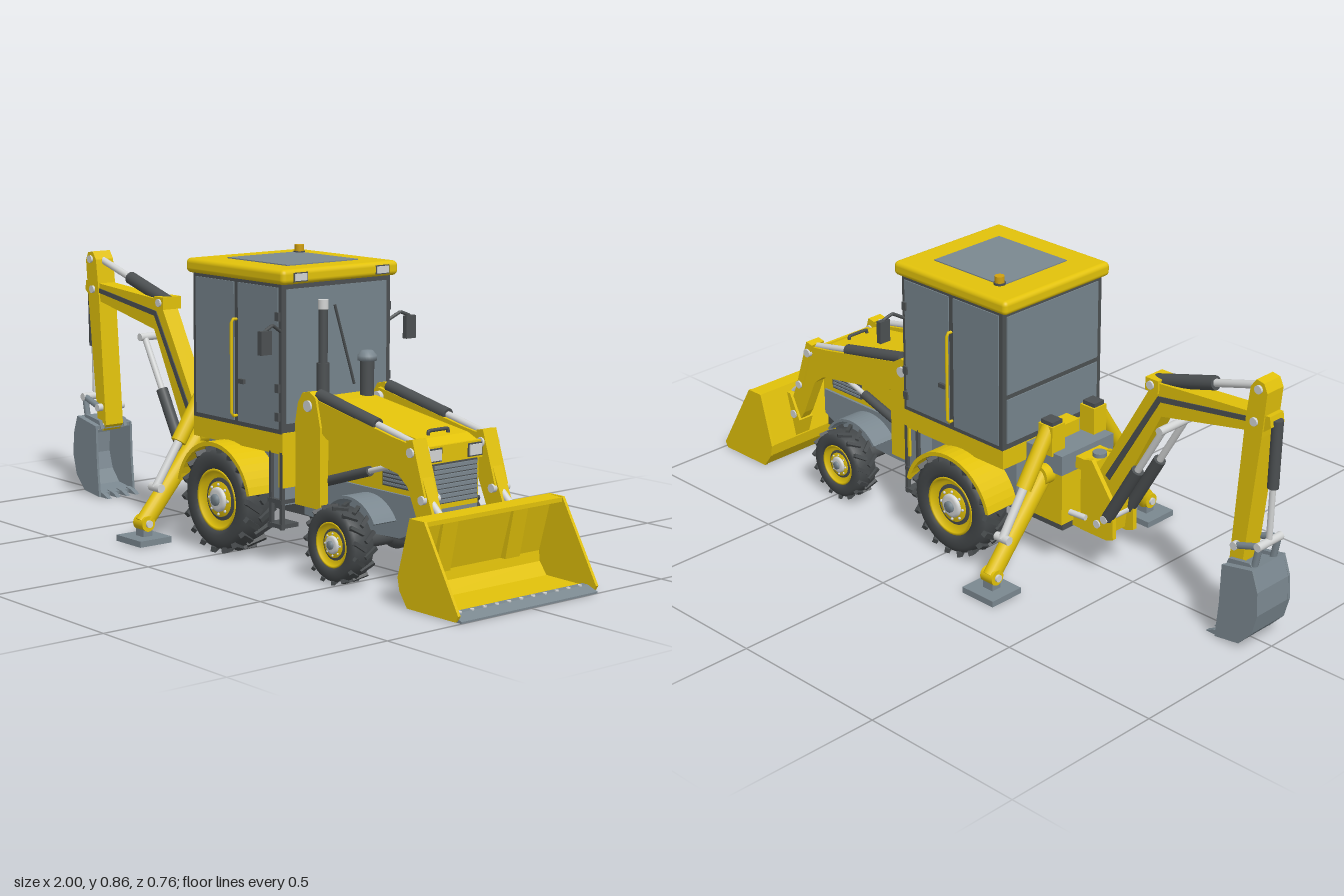
import * as THREE from 'three';
import { RoundedBoxGeometry } from 'three/addons/geometries/RoundedBoxGeometry.js';

export function createModel() {
  const root = new THREE.Group();
  root.name = 'machine';
  const mat = (name, color) => Object.assign(new THREE.MeshStandardMaterial({ color }), { name });
  const yellow = mat('yellow paint', 0xe2c20a), steel = mat('steel grey', 0x7b8890), dark = mat('dark grey', 0x4c5052);
  const glass = mat('window glass', 0x76848c), silver = mat('silver', 0xd2d4d4), rubber = mat('rubber', 0x45494b);
  const amber = mat('beacon amber', 0xd0a010);

  const add = (name, geo, m, x = 0, y = 0, z = 0, parent = root) => {
    const mesh = new THREE.Mesh(geo, m);
    mesh.name = name;
    mesh.position.set(x, y, z);
    parent.add(mesh);
    return mesh;
  };
  // box from its lower to its upper limits
  const box = (name, m, x0, x1, y0, y1, z0, z1) => add(name,
    new THREE.BoxGeometry(x1 - x0, y1 - y0, Math.abs(z1 - z0)), m, (x0 + x1) / 2, (y0 + y1) / 2, (z0 + z1) / 2);
  // side profile extruded across z, centred on zc
  const plate = (name, m, pts, width, zc = 0) => {
    const shape = new THREE.Shape(pts.map(p => new THREE.Vector2(p[0], p[1])));
    return add(name, new THREE.ExtrudeGeometry(shape, { depth: width, bevelEnabled: false }), m, 0, 0, zc - width / 2);
  };
  // round bar between two points
  const rod = (name, m, a, b, r, sides = 16) => {
    const A = new THREE.Vector3(...a), B = new THREE.Vector3(...b), d = B.clone().sub(A);
    const mesh = add(name, new THREE.CylinderGeometry(r, r, d.length(), sides), m);
    mesh.position.copy(A).add(B).multiplyScalar(0.5);
    mesh.quaternion.setFromUnitVectors(new THREE.Vector3(0, 1, 0), d.normalize());
    return mesh;
  };
  const pin = (name, x, y, z, r, w, m = silver) => rod(name, m, [x, y, z - w / 2], [x, y, z + w / 2], r, 20);
  // hydraulic cylinder: barrel from a, silver rod on to b
  const ram = (name, a, b, r, split = 0.55, m = dark) => {
    const c = a.map((v, i) => v + (b[i] - v) * split);
    rod(name + 'Barrel', m, a, c, r);
    rod(name + 'Rod', silver, c, b, r * 0.55);
  };
  const tube = (name, m, pts, r) => add(name, new THREE.TubeGeometry(
    new THREE.CatmullRomCurve3(pts.map(p => new THREE.Vector3(...p)), false, 'catmullrom', 0.1), 24, r, 8), m);

  // wheels with chevron lugs
  const wheel = (name, x, R, z, w, s, lugs) => {
    const g = new THREE.Group();
    g.name = name;
    g.position.set(x, R + 0.002, z * s);
    if (s < 0) g.rotation.y = Math.PI;
    root.add(g);
    const lathe = (n, m, pts) => add(n, new THREE.LatheGeometry(pts.map(p => new THREE.Vector2(p[0] * R, p[1] * w)), 40), m, 0, 0, 0, g).rotation.x = Math.PI / 2;
    lathe('tyre', rubber, [[0.56, -0.4], [0.66, -0.48], [0.82, -0.48], [0.92, -0.4], [0.94, 0], [0.92, 0.4], [0.82, 0.48], [0.66, 0.48], [0.56, 0.4], [0.56, -0.4]]);
    lathe('rim', yellow, [[0, -0.3], [0.4, -0.3], [0.58, -0.42], [0.58, 0.42], [0.53, 0.42], [0.46, 0.25], [0, 0.25]]);
    lathe('wheelDisc', dark, [[0.4, 0.2], [0.4, 0.29], [0, 0.29]]);
    lathe('wheelRing', yellow, [[0.33, 0.2], [0.33, 0.34], [0, 0.34]]);
    lathe('hub', silver, [[0.23, 0.2], [0.23, 0.4], [0.17, 0.44], [0, 0.44]]);
    lathe('hubCap', steel, [[0.11, 0.3], [0.11, 0.5], [0, 0.5]]);
    for (let i = 0; i < 8; i++) {
      const a = i * Math.PI / 4;
      add('wheelNut', new THREE.SphereGeometry(0.03 * R, 8, 6), silver, 0.28 * R * Math.cos(a), 0.28 * R * Math.sin(a), 0.35 * w, g);
    }
    for (let i = 0; i < lugs * 2; i++) {
      const side = i % 2 ? 1 : -1, spin = new THREE.Group();
      spin.name = 'treadLug';
      spin.rotation.z = i * Math.PI / lugs;
      g.add(spin);
      add('lug', new THREE.BoxGeometry(0.1 * R, 0.1 * R, w * 0.56), rubber, 0, R * 0.945, side * w * 0.24, spin).rotation.y = -side * 0.6;
    }
  };

  // chassis and axles
  box('chassis', dark, -0.3, 0.7, 0.12, 0.2, -0.08, 0.08);
  box('cabBase', steel, -0.18, 0.22, 0.17, 0.33, -0.145, 0.145);
  plate('frontChassis', steel, [[0.2, 0.13], [0.36, 0.12], [0.6, 0.13], [0.69, 0.17], [0.69, 0.25], [0.2, 0.25]], 0.2);
  for (const [x, y, z, r] of [[-0.015, 0.155, 0.2, 0.035], [0.48, 0.11, 0.2, 0.025]]) {
    pin('axle', x, y, 0, r, 2 * z, dark);
    add('differential', new THREE.SphereGeometry(r * 1.7, 20, 14), dark, x, y, 0);
  }
  rod('driveShaft', steel, [0, 0.13, 0], [0.48, 0.11, 0], 0.014);

  // cab
  box('cabSill', yellow, -0.182, 0.222, 0.315, 0.372, -0.2, 0.2);
  box('cabFrontPanel', yellow, 0.205, 0.224, 0.22, 0.375, -0.198, 0.198);
  box('cabFrame', dark, -0.18, 0.22, 0.37, 0.795, -0.2, 0.2);
  box('windscreen', glass, 0.216, 0.223, 0.4, 0.775, -0.184, 0.184);
  box('rearLowerWindow', glass, -0.183, -0.177, 0.39, 0.525, -0.184, 0.184);
  box('rearUpperWindow', glass, -0.183, -0.177, 0.54, 0.775, -0.184, 0.184);
  add('roof', new RoundedBoxGeometry(0.445, 0.042, 0.426, 4, 0.014), yellow, 0.02, 0.81, 0);
  box('roofPanel', steel, -0.11, 0.16, 0.828, 0.834, -0.13, 0.13);
  rod('beaconBase', dark, [-0.095, 0.828, -0.125], [-0.095, 0.837, -0.125], 0.017, 20);
  rod('beacon', amber, [-0.095, 0.837, -0.125], [-0.095, 0.856, -0.125], 0.014, 20);
  rod('wiper', dark, [0.227, 0.49, -0.06], [0.227, 0.72, 0.013], 0.004, 8);

  for (const s of [1, -1]) {
    wheel('rearWheel', -0.015, 0.154, 0.203, 0.105, s, 18);
    wheel('frontWheel', 0.48, 0.109, 0.207, 0.078, s, 15);
    // side glass, door furniture and rails
    box('rearSideWindow', glass, -0.166, 0.012, 0.385, 0.78, 0.197 * s, 0.203 * s);
    box('doorWindow', glass, 0.03, 0.208, 0.385, 0.78, 0.197 * s, 0.203 * s);
    box('doorHandle', dark, 0.04, 0.065, 0.495, 0.508, 0.2 * s, 0.212 * s);
    for (const y of [0.42, 0.5, 0.7]) box('hinge', dark, 0.2, 0.216, y - 0.012, y + 0.012, 0.2 * s, 0.208 * s);
    tube('handrail', yellow, [[0.021, 0.4, 0.2 * s], [0.021, 0.405, 0.219 * s], [0.021, 0.67, 0.219 * s], [0.021, 0.675, 0.2 * s]], 0.0045);
    tube('mirrorArm', dark, [[0.215, 0.66, 0.2 * s], [0.225, 0.68, 0.235 * s], [0.23, 0.668, 0.266 * s]], 0.005);
    box('mirror', dark, 0.222, 0.238, 0.602, 0.668, 0.248 * s, 0.285 * s);
    for (const x of [0.235, -0.185]) {
      box('lampCase', dark, x - 0.012, x + 0.009, 0.796, 0.822, 0.125 * s, 0.175 * s);
      box('workLamp', silver, x - 0.014, x + 0.011, 0.799, 0.819, 0.129 * s, 0.171 * s);
    }
    // steps below the door
    box('stepTank', steel, 0.165, 0.22, 0.17, 0.315, 0.13 * s, 0.19 * s);
    for (const x of [0.165, 0.212]) box('stepRail', dark, x, x + 0.01, 0.1, 0.32, 0.188 * s, 0.2 * s);
    for (const y of [0.11, 0.18]) box('step', dark, 0.16, 0.222, y - 0.006, y + 0.006, 0.14 * s, 0.202 * s);
    // rear fender: curved guard with an inner wall
    const arc = (r, a, b) => Array.from({ length: 21 }, (_, i) => {
      const t = a + (b - a) * i / 20;
      return [-0.015 + r * Math.cos(t), 0.152 + r * Math.sin(t)];
    });
    plate('rearFender', yellow, [...arc(0.172, 0.25, 2.9), ...arc(0.16, 2.9, 0.25)], 0.115, 0.2025 * s);
    plate('fenderWall', yellow, arc(0.165, 0.25, 2.9), 0.008, 0.147 * s);
    // front fender
    const frontArc = (r, a, b) => arc(r, a, b).map(p => [p[0] + 0.495, p[1] - 0.04]);
    plate('frontFender', steel, [...frontArc(0.125, 0.55, 2.5), ...frontArc(0.117, 2.5, 0.55)], 0.08, 0.14 * s);

    // loader tower and arm
    const z = 0.128 * s;
    plate('loaderTower', yellow, [[0.222, 0.17], [0.33, 0.17], [0.33, 0.4], [0.31, 0.48], [0.285, 0.495], [0.255, 0.49], [0.235, 0.46], [0.222, 0.4]], 0.03, 0.138 * s);
    plate('loaderArm', yellow, [[0.25, 0.44], [0.27, 0.48], [0.32, 0.472], [0.62, 0.415], [0.69, 0.405], [0.715, 0.375], [0.79, 0.2], [0.79, 0.15], [0.755, 0.14], [0.735, 0.17], [0.68, 0.29], [0.64, 0.32], [0.35, 0.37]], 0.036, z);
    ram('tiltRam', [0.3, 0.485, z], [0.69, 0.405, z], 0.018, 0.62);
    ram('liftRam', [0.3, 0.24, 0.112 * s], [0.62, 0.34, 0.112 * s], 0.014, 0.6);
    plate('tiltLever', yellow, [[0.68, 0.415], [0.705, 0.42], [0.755, 0.27], [0.735, 0.255]], 0.05, z);
    rod('tiltLink', silver, [0.745, 0.265, z], [0.815, 0.205, z], 0.01);
    plate('bucketBracket', yellow, [[0.75, 0.14], [0.79, 0.22], [0.83, 0.22], [0.8, 0.08], [0.77, 0.08]], 0.054, z);
    for (const [x, y, r] of [[0.28, 0.455, 0.016], [0.7, 0.385, 0.013], [0.745, 0.265, 0.012], [0.775, 0.155, 0.013]]) pin('armPin', x, y, z, r, 0.062);
    // side vents and headlights
    box('sideVent', dark, 0.525, 0.655, 0.265, 0.312, 0.09 * s, 0.096 * s);
    for (let i = 0; i < 4; i++) box('ventSlat', steel, 0.53, 0.65, 0.27 + i * 0.011, 0.276 + i * 0.011, 0.092 * s, 0.099 * s);
    box('headlightCase', dark, 0.7, 0.708, 0.351, 0.388, 0.048 * s, 0.1 * s);
    box('headlight', silver, 0.7, 0.711, 0.355, 0.384, 0.052 * s, 0.096 * s);

    // stabiliser leg, ram and foot
    rod('stabiliserLeg', yellow, [-0.26, 0.055, 0.328 * s], [-0.26, 0.3, 0.115 * s], 0.028, 20).scale.x = 0.85;
    pin('legHead', -0.26, 0.3, 0.11 * s, 0.03, 0.05, yellow);
    rod('legEnd', yellow, [-0.283, 0.058, 0.325 * s], [-0.237, 0.058, 0.325 * s], 0.023, 24);
    rod('footPin', silver, [-0.29, 0.058, 0.325 * s], [-0.23, 0.058, 0.325 * s], 0.011);
    box('footBracket', steel, -0.278, -0.242, 0.02, 0.06, 0.309 * s, 0.341 * s);
    box('foot', steel, -0.32, -0.2, 0.002, 0.02, 0.27 * s, 0.382 * s);
    ram('stabiliserRam', [-0.26, 0.44, 0.095 * s], [-0.26, 0.155, 0.283 * s], 0.023, 0.55, yellow);
    rod('ramEye', silver, [-0.285, 0.157, 0.28 * s], [-0.235, 0.157, 0.28 * s], 0.013);
    box('ramBracket', yellow, -0.287, -0.233, 0.36, 0.45, 0.06 * s, 0.112 * s);
    box('ramCap', dark, -0.282, -0.238, 0.45, 0.462, 0.066 * s, 0.107 * s);
  }

  // engine hood, grille and stacks
  plate('hood', yellow, [[0.22, 0.22], [0.7, 0.22], [0.703, 0.39], [0.66, 0.408], [0.29, 0.46], [0.22, 0.465]], 0.184);
  box('noseBand', yellow, 0.69, 0.705, 0.345, 0.393, -0.104, 0.104);
  box('grille', dark, 0.7, 0.707, 0.235, 0.346, -0.082, 0.082);
  for (let i = 0; i < 8; i++) box('grilleSlat', steel, 0.702, 0.713, 0.239 + i * 0.0133, 0.248 + i * 0.0133, -0.078, 0.078);
  tube('hoodHandle', dark, [[0.64, 0.41, 0.036], [0.64, 0.422, 0.034], [0.64, 0.422, -0.034], [0.64, 0.41, -0.036]], 0.005);
  rod('exhaustMuffler', dark, [0.25, 0.455, 0.075], [0.25, 0.565, 0.075], 0.018, 24);
  rod('exhaustPipe', dark, [0.25, 0.565, 0.075], [0.25, 0.715, 0.075], 0.013, 24);
  rod('exhaustTip', silver, [0.25, 0.715, 0.075], [0.25, 0.742, 0.075], 0.0145, 24);
  rod('airCleaner', dark, [0.265, 0.455, -0.075], [0.265, 0.56, -0.075], 0.02, 24);
  add('airCleanerCap', new THREE.LatheGeometry([[0, 0], [0.028, 0], [0.028, 0.014], [0.016, 0.028], [0, 0.03]].map(p => new THREE.Vector2(...p)), 24), steel, 0.265, 0.56, -0.075);

  // loader bucket: folded sheet, end plates and cutting edge
  plate('bucketShell', yellow, [[0.865, 0.24], [0.81, 0.242], [0.768, 0.08], [0.775, 0.045], [0.805, 0.004], [0.97, 0.004], [0.97, 0.014], [0.812, 0.016], [0.785, 0.05], [0.782, 0.08], [0.822, 0.225], [0.865, 0.228]], 0.505);
  for (const s of [1, -1]) plate('bucketSide', yellow, [[0.865, 0.242], [0.81, 0.242], [0.766, 0.08], [0.773, 0.045], [0.803, 0.003], [0.985, 0.003], [0.995, 0.02]], 0.009, 0.252 * s);
  plate('cuttingEdge', steel, [[0.945, 0.001], [1, 0.001], [1, 0.006], [0.965, 0.019], [0.945, 0.019]], 0.498);
  for (let i = 0; i < 11; i++) rod('edgeBolt', silver, [0.962, 0.015, -0.22 + i * 0.044], [0.962, 0.022, -0.22 + i * 0.044], 0.006, 8);

  // rear frame and swing post
  box('rearFrame', yellow, -0.315, -0.18, 0.15, 0.31, -0.1, 0.1);
  box('rearDeck', steel, -0.32, -0.18, 0.31, 0.37, -0.107, 0.107);
  box('consoleBox', yellow, -0.24, -0.19, 0.37, 0.41, -0.05, 0.05);
  for (const y of [0.15, 0.335]) box('swingBracket', yellow, -0.385, -0.31, y - 0.018, y + 0.018, -0.05, 0.05);
  rod('swingPost', steel, [-0.365, 0.125, 0], [-0.365, 0.365, 0], 0.02, 20);
  for (const s of [1, -1]) {
    plate('swingCheek', yellow, [[-0.34, 0.13], [-0.34, 0.35], [-0.38, 0.36], [-0.46, 0.25], [-0.465, 0.14], [-0.44, 0.13]], 0.014, 0.043 * s);
    ram('swingRam', [-0.2, 0.18, 0.075 * s], [-0.37, 0.18, 0.06 * s], 0.016, 0.6);
  }

  // boom, stick and their rams
  plate('boom', yellow, [[-0.975, 0.685], [-0.58, 0.658], [-0.393, 0.33], [-0.36, 0.17], [-0.39, 0.14], [-0.44, 0.145], [-0.455, 0.262], [-0.61, 0.565], [-0.955, 0.635], [-0.98, 0.655]], 0.056);
  for (const s of [1, -1]) plate('boomStripe', dark, [[-0.93, 0.669], [-0.597, 0.622], [-0.415, 0.32], [-0.43, 0.31], [-0.606, 0.607], [-0.93, 0.655]], 0.004, 0.029 * s);
  plate('stick', yellow, [[-0.967, 0.75], [-0.955, 0.775], [-0.93, 0.78], [-0.912, 0.755], [-0.9, 0.66], [-0.868, 0.23], [-0.885, 0.21], [-0.912, 0.23], [-0.955, 0.62]], 0.066);
  ram('stickRam', [-0.57, 0.65, 0], [-0.935, 0.755, 0], 0.02, 0.55);
  box('stickRamMount', yellow, -0.6, -0.555, 0.63, 0.668, -0.034, 0.034);
  for (const s of [1, -1]) ram('boomRam', [-0.44, 0.2, 0.046 * s], [-0.635, 0.54, 0.046 * s], 0.018, 0.55);
  ram('bucketRam', [-0.98, 0.67, 0], [-0.972, 0.31, 0], 0.016, 0.55);
  for (const s of [1, -1]) {
    rod('bucketLink', steel, [-0.972, 0.31, 0.04 * s], [-0.892, 0.285, 0.04 * s], 0.01, 8);
    rod('bucketLink', steel, [-0.972, 0.31, 0.04 * s], [-0.955, 0.225, 0.04 * s], 0.01, 8);
  }
  for (const [x, y, w] of [[-0.94, 0.755, 0.08], [-0.93, 0.66, 0.08], [-0.892, 0.285, 0.1], [-0.972, 0.31, 0.1], [-0.89, 0.225, 0.1], [-0.955, 0.225, 0.1], [-0.635, 0.54, 0.13], [-0.44, 0.2, 0.13], [-0.405, 0.17, 0.11], [-0.575, 0.65, 0.08]]) pin('pivotPin', x, y, 0, 0.012, w);

  // digging bucket
  plate('diggerShell', steel, [[-0.875, 0.23], [-0.975, 0.25], [-0.995, 0.19], [-0.998, 0.12], [-0.982, 0.06], [-0.94, 0.015], [-0.86, 0.004], [-0.86, 0.014], [-0.935, 0.026], [-0.97, 0.066], [-0.986, 0.12], [-0.983, 0.185], [-0.967, 0.236], [-0.875, 0.218]], 0.13);
  for (const s of [1, -1]) {
    plate('diggerSide', steel, [[-0.872, 0.23], [-0.975, 0.25], [-0.996, 0.19], [-0.999, 0.12], [-0.983, 0.06], [-0.94, 0.014], [-0.858, 0.003], [-0.868, 0.11]], 0.008, 0.066 * s);
    plate('diggerEar', steel, [[-0.97, 0.24], [-0.87, 0.22], [-0.88, 0.245], [-0.95, 0.255]], 0.012, 0.045 * s);
  }
  for (let i = 0; i < 4; i++) plate('diggerTooth', steel, [[-0.875, 0.002], [-0.82, 0.002], [-0.845, 0.014], [-0.875, 0.02]], 0.016, -0.054 + i * 0.036);
  return root;
}
